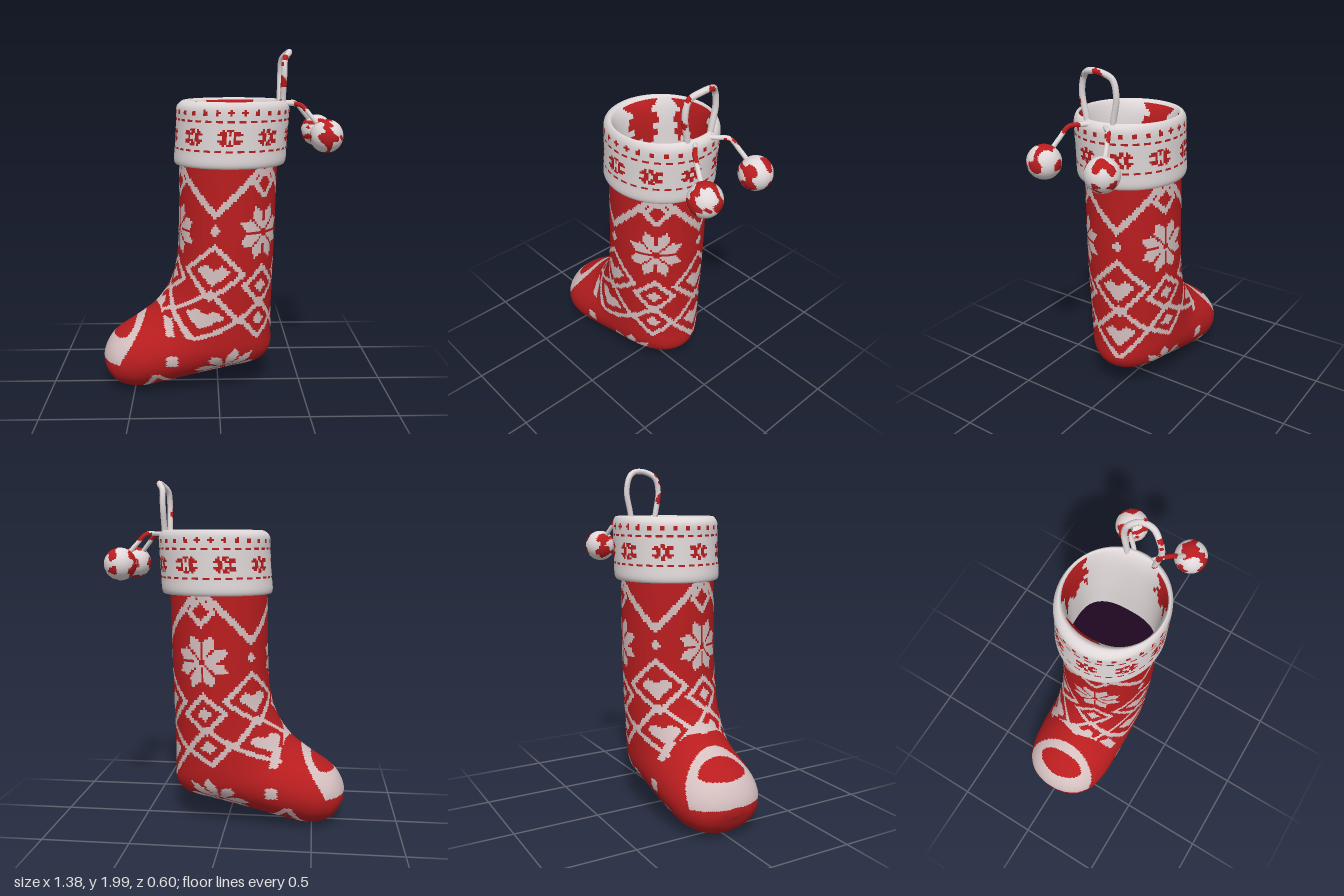
import * as THREE from 'three';

const mat = (name, color) => new THREE.MeshStandardMaterial({ name, color });
const { abs, sin, cos, hypot, sign, PI } = Math;

// Smooth skin through rings [ax, ay, bx, by, halfDepth, power]; a and b are opposite ring ends,
// a power below 1 squares the ring off
function loft(rings, rowsPerRing, cols) {
  const a = new THREE.CatmullRomCurve3(rings.map(r => new THREE.Vector3(r[0], r[1], r[4])));
  const b = new THREE.CatmullRomCurve3(rings.map(r => new THREE.Vector3(r[2], r[3], r[5] ?? 1)));
  const rows = (rings.length - 1) * rowsPerRing, pos = [], index = [];
  for (let i = 0; i <= rows; i++) {
    const p = a.getPoint(i / rows), q = b.getPoint(i / rows);
    const pow = v => sign(v) * abs(v) ** q.z;
    for (let j = 0; j < cols; j++) {
      const t = j / cols * 2 * PI, c = pow(cos(t));
      pos.push((p.x + q.x) / 2 + (q.x - p.x) / 2 * c, (p.y + q.y) / 2 + (q.y - p.y) / 2 * c, p.z * pow(sin(t)));
    }
  }
  for (let i = 0; i < rows; i++) for (let j = 0; j < cols; j++) {
    const k = i * cols + j, n = i * cols + (j + 1) % cols;
    index.push(k, n, k + cols, n, n + cols, k + cols);
  }
  const g = new THREE.BufferGeometry();
  g.setAttribute('position', new THREE.Float32BufferAttribute(pos, 3));
  g.setIndex(index);
  g.computeVertexNormals();
  return g;
}

// Sort faces into two colour groups; isPattern(x, y, z, faceNumber) picks the second
function paint(g, step, isPattern) {
  const idx = Array.from(g.index.array), p = g.attributes.position, sets = [[], []];
  for (let f = 0; f < idx.length; f += step) {
    const face = idx.slice(f, f + step), c = [0, 0, 0];
    for (const i of face) {
      c[0] += p.getX(i) / step; c[1] += p.getY(i) / step; c[2] += p.getZ(i) / step;
    }
    sets[isPattern(...c, f / step) ? 1 : 0].push(...face);
  }
  g.setIndex([...sets[0], ...sets[1]]);
  g.clearGroups();
  g.addGroup(0, sets[0].length, 0);
  g.addGroup(sets[0].length, sets[1].length, 1);
  return g;
}

// Knitted motifs
const diamond = (x, y, r) => abs(x) + abs(y) < r;
const outline = (x, y, r, w = 0.021) => abs(abs(x) + abs(y) - r) < w;
function star(x, y, R) {
  const r = hypot(x, y), s = PI / 4;
  const a = Math.atan2(y, x) + PI / 8, d = a - Math.round(a / s) * s;
  return r > 0.02 && abs(r * sin(d)) < Math.min(0.036, r * 0.31, (R - r) * 0.8);
}
function heart(x, y, r) {
  const X = abs(x) / r, Y = y / r;
  return Y < 0.55 - abs(X - 0.5) * 0.7 && Y > X - 1 && X < 1;
}
const wrap = (v, period) => v - Math.round(v / period) * period;
const blotch = (x, y, z, f, s = 0) => sin(f * x + 1 + s) + sin(f * y * 1.2 + 2 * s) + sin(f * z * 1.1 + 2.4) + 0.5 * sin(f * (x + y - z) * 1.7);

const COLS = 160;

function sockPattern(x, y, z, face) {
  const theta = ((face % COLS) + 0.5) / COLS * 2 * PI;
  const u = wrap(theta - PI / 4, 2 * PI / 3) * 0.28;      // distance from a star column
  const h = abs(u) - 0.293;                               // distance from a heart column
  // Height along the leg, tilting towards the foot
  const v = y - 0.6 * THREE.MathUtils.clamp((0.95 - y) * 0.6, 0, 0.38) * (0.32 - x);
  if (x > -0.33 && v > 0.27) {
    // Leg bands
    if (v > 1.07 && abs(v - 1.1 - abs(h)) < 0.027) return true;
    if (outline(u, v - 1.27, 0.07)) return true;
    if (star(u, v - 0.99, 0.165) || diamond(h, v - 1.01, 0.034)) return true;
    for (const c of [0.67, 0.46]) if (outline(u, v - c, 0.115) || diamond(u, v - c, 0.045)) return true;
    for (const c of [0.745, 0.445]) if (outline(h, v - c, 0.17) || heart(h, v - c, 0.09)) return true;
    if (v > 0.38) return false;
  }
  // Foot motifs; b unrolls the side onto the sole
  const b = y - 0.12 - 0.25 * x + abs(z) - 0.27;
  if (y < 0.32 && star(x - 0.03, b + 0.03, 0.19)) return true;
  if (abs(x + 0.27) < 0.034 && abs(y - 0.24) < 0.034) return true;
  if (y < 0.15 && outline(x + 0.36, z * 0.75, 0.19, 0.022)) return true;
  if (y < 0.12 && diamond(x + 0.36, z, 0.06)) return true;
  if (y > 0.2) {
    const e = hypot((x + 0.56) / 0.13, z / 0.225), inner = hypot((x + 0.56 - 0.12 * abs(z)) / 0.068, z / 0.145);
    if (e < 1 && inner > 1) return true;
    if (y > 0.38 && abs(x + 0.35 - 0.3 * abs(z)) < 0.022) return true;
  }
  return false;
}

// Red lining patches: [angle, half angle, lowest y]
const PATCHES = [[50, 20, 1.56], [190, 18, 1.46], [265, 28, 1.5]];

function cuffPattern(x, y, z, face) {
  const row = Math.floor(face / COLS), col = face % COLS, deg = (col + 0.5) / COLS * 360;
  const arc = deg * PI / 180 * 0.31;
  if (row < 18) return PATCHES.some(([a, w, low]) => abs(deg - a) < w + 5 * sin(y * 60) && y > low + 0.03 * sin(deg / 4));
  if (y > 1.695) return blotch(x, y, z, 30) > 1.4;        // rim
  if (row > 50) return false;
  const p = 2 * PI * 0.31 / 9, u = wrap(arc - 0.073, p), v = y - 1.53, s = wrap(arc, p / 3);
  if (diamond(s, y - 1.66, 0.018) || diamond(s, y - 1.41, 0.016)) return true;
  if (abs(y - 1.615) < 0.006 || abs(y - 1.455) < 0.006) return col % 5 < 3;
  const r = hypot(u * 0.9, v * 1.25);
  return r > 0.015 && r < 0.06 && abs(sin(Math.atan2(v, u) * 3)) > 0.45;
}

export function createModel() {
  const red = mat('red wool', 0xb91d1f), cream = mat('cream wool', 0xd5bfbf);
  const white = mat('white wool', 0xe0d8d8), dark = mat('dark inside', 0x1e0720);
  const model = new THREE.Group();
  const add = (name, geo, material) => {
    const m = new THREE.Mesh(geo, material);
    m.name = name;
    model.add(m);
    return m;
  };

  // Leg and foot
  const sock = loft([
    [-0.22, 1.42, 0.345, 1.42, 0.27], [-0.225, 1.28, 0.342, 1.28, 0.27],
    [-0.228, 1.14, 0.338, 1.13, 0.27], [-0.23, 1.0, 0.335, 0.98, 0.272],
    [-0.235, 0.88, 0.33, 0.83, 0.272], [-0.25, 0.76, 0.325, 0.67, 0.272],
    [-0.285, 0.65, 0.32, 0.51, 0.27], [-0.34, 0.56, 0.32, 0.36, 0.27],
    [-0.40, 0.495, 0.315, 0.24, 0.27], [-0.44, 0.465, 0.26, 0.175, 0.27],
    [-0.48, 0.435, 0.1, 0.135, 0.27], [-0.53, 0.4, -0.1, 0.09, 0.27],
    [-0.59, 0.36, -0.3, 0.04, 0.262], [-0.64, 0.315, -0.45, 0.008, 0.235],
    [-0.674, 0.26, -0.57, 0.02, 0.18], [-0.69, 0.205, -0.64, 0.07, 0.105],
    [-0.687, 0.155, -0.682, 0.145, 0.004],
  ], 10, COLS);
  add('sock', paint(sock, 6, sockPattern), [red, cream]);

  // Folded cuff with its lining, and the dark floor inside
  const cuff = loft([
    [-0.1, 1.2, 0.28, 1.2, 0.237, 0.75], [-0.11, 1.42, 0.295, 1.42, 0.242, 0.8],
    [-0.135, 1.66, 0.335, 1.66, 0.258, 0.9], [-0.185, 1.72, 0.38, 1.72, 0.28],
    [-0.232, 1.69, 0.405, 1.69, 0.297], [-0.238, 1.61, 0.405, 1.61, 0.3],
    [-0.243, 1.53, 0.4, 1.53, 0.3], [-0.248, 1.45, 0.395, 1.45, 0.3],
    [-0.253, 1.38, 0.39, 1.38, 0.3], [-0.245, 1.36, 0.378, 1.36, 0.29],
    [-0.2, 1.365, 0.33, 1.365, 0.262],
  ], 7, COLS);
  add('cuff', paint(cuff, 6, cuffPattern), [white, red]);
  add('insideFloor', loft([[0.089, 1.205, 0.091, 1.205, 0.001, 0.75], [-0.1, 1.205, 0.28, 1.205, 0.237, 0.75]], 1, COLS), dark);

  // Cords
  const cord = (name, pts, r, n, level) => {
    const curve = new THREE.CatmullRomCurve3(pts.map(p => new THREE.Vector3(...p)));
    const g = new THREE.TubeGeometry(curve, n, r, 10);
    add(name, paint(g, 6, (x, y, z) => blotch(x, y, z, 40, 1) > level), [white, red]);
  };
  cord('hangingLoop', [
    [0.36, 1.66, 0.075], [0.362, 1.74, 0.088], [0.365, 1.86, 0.108], [0.37, 1.945, 0.088], [0.398, 1.98, 0.035],
    [0.398, 1.98, -0.035], [0.37, 1.945, -0.088], [0.365, 1.86, -0.108], [0.362, 1.74, -0.088], [0.36, 1.66, -0.075],
  ], 0.017, 80, 0.4);

  // Pompoms on their cords
  for (const s of [1, -1]) {
    cord(s > 0 ? 'frontPompomCord' : 'backPompomCord', [
      [0.37, 1.7, 0.04 * s], [0.41, 1.7, 0.075 * s], [0.46, 1.695, 0.125 * s], [0.51, 1.64, 0.15 * s], [0.57, 1.57, 0.175 * s],
    ], 0.013, 36, 1.2);
    const ball = paint(new THREE.SphereGeometry(0.092, 48, 36), 3, (x, y, z) => blotch(x, y, z, 58, s) > 0.35);
    add(s > 0 ? 'frontPompom' : 'backPompom', ball, [white, red]).position.set(0.597, 1.53, 0.185 * s);
  }
  return model;
}
